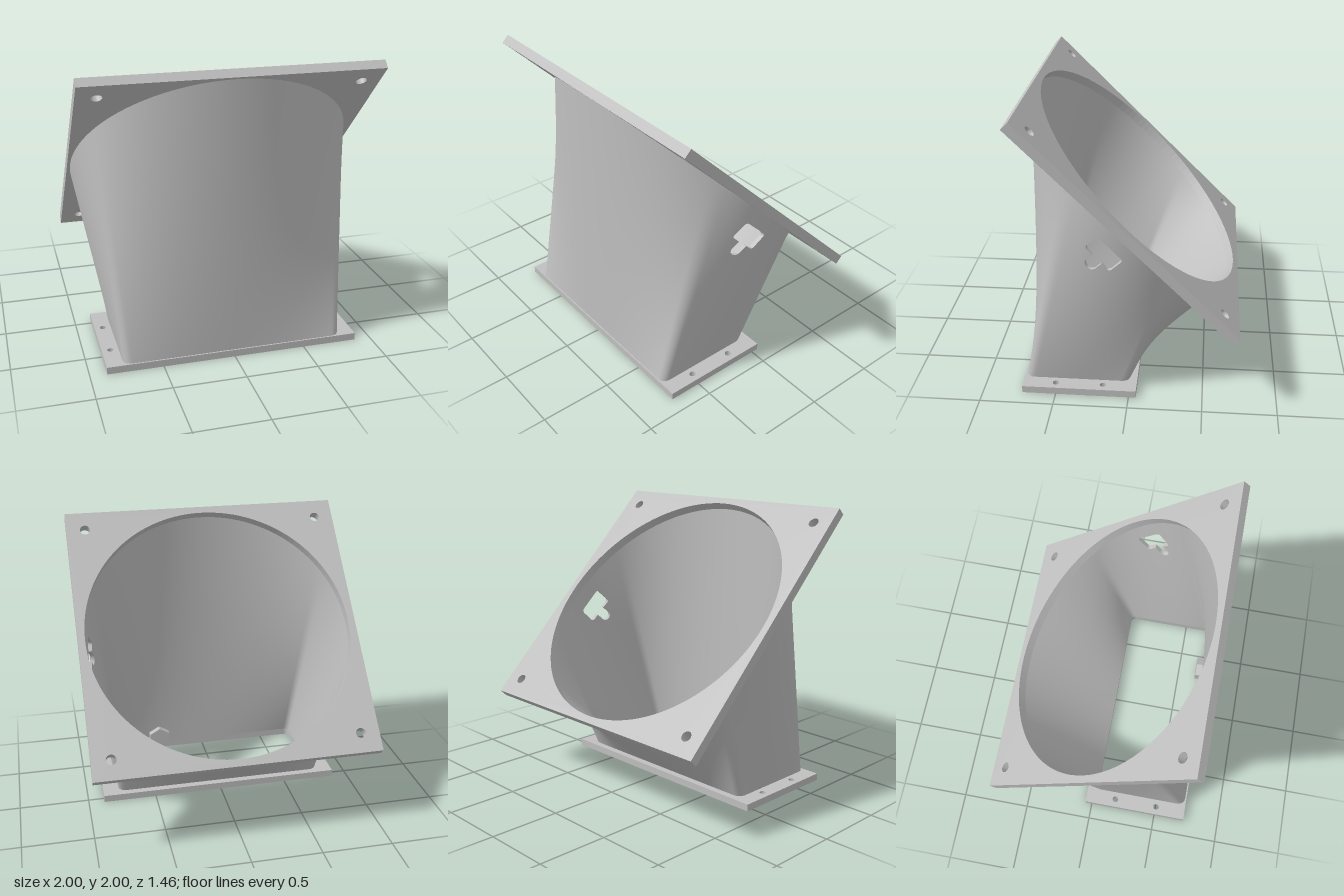
import * as THREE from 'three';

const K = Math.SQRT1_2, NT = 240, NS = 24;
const PY = 1.245, PZ = 0.025;   // centre of the tilted flange's underside
const BASE = 0.05;              // base flange thickness
const grey = new THREE.MeshStandardMaterial({ color: 0xbfbfbf });
grey.name = 'sheet metal grey';

// Rounded rectangle running counter-clockwise from the middle of its +x side
function roundRect(hx, y0, y1, r) {
  const s = new THREE.Shape(), P = Math.PI;
  s.moveTo(hx, (y0 + y1) / 2);
  s.lineTo(hx, y1 - r);
  s.absarc(hx - r, y1 - r, r, 0, P / 2);
  s.lineTo(-hx + r, y1);
  s.absarc(-hx + r, y1 - r, r, P / 2, P);
  s.lineTo(-hx, y0 + r);
  s.absarc(-hx + r, y0 + r, r, P, 1.5 * P);
  s.lineTo(hx - r, y0);
  s.absarc(hx - r, y0 + r, r, 1.5 * P, 2 * P);
  s.lineTo(hx, (y0 + y1) / 2);
  return s;
}

function rect(hx, y0, y1) {
  return new THREE.Shape([[-hx, y0], [hx, y0], [hx, y1], [-hx, y1]].map(p => new THREE.Vector2(...p)));
}

function circle(x, y, r) {
  return new THREE.Path().absarc(x, y, r, 0, 2 * Math.PI, false);
}

// Duct skin: rounded rectangle at the base blending to a circle on the tilted plane
function makeSkin(inset) {
  const foot = roundRect(0.77 - inset, -0.72 + inset, -inset, 0.055 - inset * 0.7);
  const R = 0.98 - inset;
  const bottom = t => {
    const p = foot.getPoint(((t % 1) + 1) % 1);
    return new THREE.Vector3(p.x, BASE, -p.y);
  };
  const top = t => {
    const a = t * 2 * Math.PI, q = R * Math.sin(a) * K;
    return new THREE.Vector3(R * Math.cos(a), PY - q, PZ - q);
  };
  const at = (t, s) => bottom(t).lerp(top(t), s);
  const normal = (t, s) => {
    const dt = at(t + 2e-4, s).sub(at(t - 2e-4, s));
    return dt.cross(top(t).sub(bottom(t))).normalize();
  };
  return { foot, bottom, at, normal };
}

// T-shaped opening, in (along flange, distance below flange)
function slotOutline() {
  const a = 0.11, v0 = 0.105, v1 = 0.235, r = 0.025, h = 0.04, end = 0.29;
  const s = new THREE.Shape();
  s.moveTo(-a + r, v0);
  s.lineTo(a - r, v0);
  s.quadraticCurveTo(a, v0, a, v0 + r);
  s.lineTo(a, v1 - r);
  s.quadraticCurveTo(a, v1, a - r, v1);
  s.lineTo(h, v1);
  s.lineTo(h, end);
  s.absarc(0, end, h, 0, Math.PI, false);
  s.lineTo(-h, v1);
  s.lineTo(-a + r, v1);
  s.quadraticCurveTo(-a, v1, -a, v1 - r);
  s.lineTo(-a, v0 + r);
  s.quadraticCurveTo(-a, v0, -a + r, v0);
  const pts = s.getPoints(6);
  pts.pop();
  return pts;
}

// Find the skin parameters (t, s) of a slot point by bisection
function toSkin(skin, p) {
  let lo = -0.15, hi = 0.15, s = 0;
  for (let i = 0; i < 40; i++) {
    const t = (lo + hi) / 2, b = skin.bottom(t);
    s = 1 - p.y / ((PY - b.y + b.z - PZ) * K);
    const q = skin.at(t, s);
    const u = (PY - q.y + PZ - q.z) * K;
    if (u < p.x) lo = t; else hi = t;
  }
  return new THREE.Vector2((lo + hi) / 2, s);
}

function skinGeometry(skin, ts, index, flip) {
  const pos = [], nor = [];
  for (const p of ts) {
    pos.push(...skin.at(p.x, p.y).toArray());
    nor.push(...skin.normal(p.x, p.y).multiplyScalar(flip ? -1 : 1).toArray());
  }
  const g = new THREE.BufferGeometry();
  g.setAttribute('position', new THREE.Float32BufferAttribute(pos, 3));
  g.setAttribute('normal', new THREE.Float32BufferAttribute(nor, 3));
  g.setIndex(flip ? [...index].reverse() : index);
  return g;
}

export function createModel() {
  const model = new THREE.Group();
  model.name = 'angled duct adapter';
  const add = (name, geo) => {
    const m = new THREE.Mesh(geo, grey);
    m.name = name;
    model.add(m);
    return m;
  };
  const outer = makeSkin(0), inner = makeSkin(0.03);

  // Slot outline on the skin and the grid cells it replaces
  const slot = slotOutline().map(p => toSkin(outer, p));
  if (THREE.ShapeUtils.isClockWise(slot)) slot.reverse();
  const tt = slot.map(p => p.x * NT), ss = slot.map(p => p.y * NS);
  const i0 = Math.floor(Math.min(...tt)) - 1, i1 = Math.ceil(Math.max(...tt)) + 1;
  const j0 = Math.floor(Math.min(...ss)), j1 = Math.min(NS, Math.ceil(Math.max(...ss)));

  // Skin grid without the slot patch
  const ts = [], index = [], row = NS + 1, half = NT / 2;
  for (let i = -half; i <= half; i++)
    for (let j = 0; j <= NS; j++) ts.push(new THREE.Vector2(i / NT, j / NS));
  for (let i = -half; i < half; i++)
    for (let j = 0; j < NS; j++) {
      if (i >= i0 && i < i1 && j >= j0 && j < j1) continue;
      const a = (i + half) * row + j, b = a + row;
      index.push(a, b, b + 1, a, b + 1, a + 1);
    }

  // Patch around the slot
  const edge = [];
  for (let i = i0; i < i1; i++) edge.push([i, j0]);
  for (let j = j0; j < j1; j++) edge.push([i1, j]);
  for (let i = i1; i > i0; i--) edge.push([i, j1]);
  for (let j = j1; j > j0; j--) edge.push([i0, j]);
  const patch = new THREE.Shape(edge.map(([i, j]) => new THREE.Vector2(i / NT, j / NS)));
  patch.holes.push(new THREE.Path(slot));
  const flat = new THREE.ShapeGeometry(patch), fp = flat.attributes.position;
  const start = ts.length;
  for (let k = 0; k < fp.count; k++) ts.push(new THREE.Vector2(fp.getX(k), fp.getY(k)));
  for (const k of flat.index.array) index.push(start + k);

  add('duct outer skin', skinGeometry(outer, ts, index, false));
  add('duct inner skin', skinGeometry(inner, ts, index, true));

  // Thickness of the wall around the slot
  const wall = [];
  slot.forEach((a, k) => {
    const b = slot[(k + 1) % slot.length];
    const ao = outer.at(a.x, a.y), bo = outer.at(b.x, b.y);
    const ai = inner.at(a.x, a.y), bi = inner.at(b.x, b.y);
    for (const p of [ao, bo, bi, ao, bi, ai]) wall.push(p.x, p.y, p.z);
  });
  const wallGeo = new THREE.BufferGeometry();
  wallGeo.setAttribute('position', new THREE.Float32BufferAttribute(wall, 3));
  wallGeo.computeVertexNormals();
  add('slot rim', wallGeo);

  // Base flange with rectangular opening and four screw holes
  const base = rect(0.885, -0.73, 0.05);
  base.holes.push(new THREE.Path(inner.foot.getPoints(8)));
  for (const x of [-0.825, 0.825])
    for (const z of [0.18, 0.505]) base.holes.push(circle(x, -z, 0.022));
  const baseGeo = new THREE.ExtrudeGeometry(base, { depth: BASE, bevelEnabled: false, curveSegments: 16 });
  add('base flange', baseGeo.rotateX(-Math.PI / 2));

  // Tilted square flange with round opening and corner holes
  const plate = rect(1, -1, 1);
  plate.holes.push(circle(0, 0, 0.95));
  for (const x of [-0.865, 0.865])
    for (const y of [-0.86, 0.86]) plate.holes.push(circle(x, y, 0.036));
  const plateGeo = new THREE.ExtrudeGeometry(plate, { depth: 0.065, bevelEnabled: false, curveSegments: 60 });
  add('tilted flange', plateGeo.rotateX(-0.75 * Math.PI).translate(0, PY, PZ));

  // Hexagonal boss low on the inside of the front wall
  const hex = new THREE.CylinderGeometry(0.09, 0.09, 0.06, 6).toNonIndexed();
  hex.computeVertexNormals();
  add('hex boss', hex.rotateX(Math.PI / 2)).position.set(0.36, 0.105, 0.665);

  return model;
}
